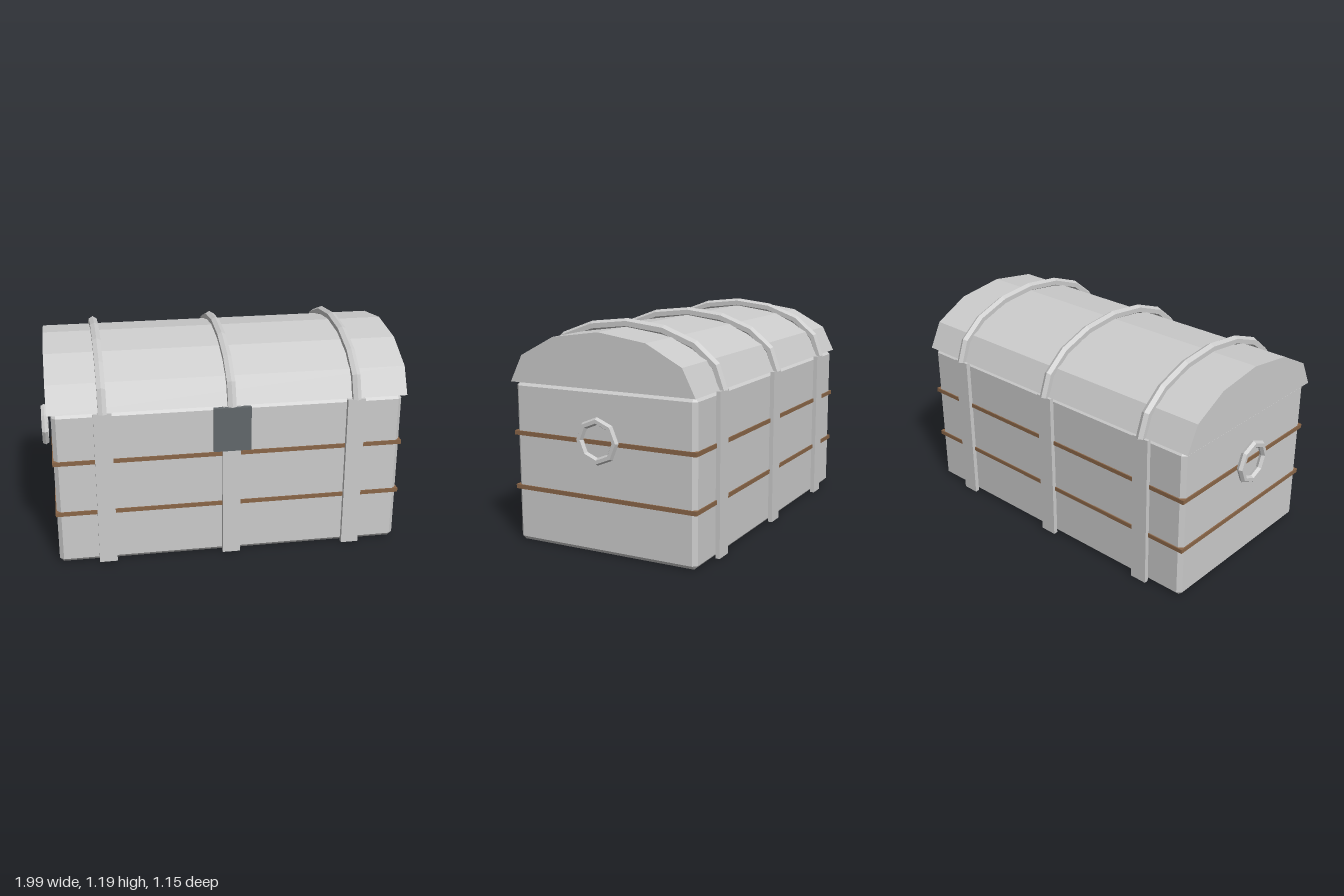
import * as THREE from 'three';
import { ConvexGeometry } from 'three/addons/geometries/ConvexGeometry.js';

const material = (color) => new THREE.MeshStandardMaterial({ color, flatShading: true, side: THREE.DoubleSide });

// Elliptical arc in the yz plane, sampled at equal angles
class ArcCurve extends THREE.Curve {
  constructor(rz, ry, sweep) {
    super();
    Object.assign(this, { rz, ry, sweep });
  }
  getPoint(t, target = new THREE.Vector3()) {
    const a = t * this.sweep;
    return target.set(0, this.ry * Math.sin(a), this.rz * Math.cos(a));
  }
  getPointAt(t, target) { return this.getPoint(t, target); }
  getTangentAt(t, target = new THREE.Vector3()) {
    const a = t * this.sweep;
    return target.set(0, this.ry * Math.cos(a), -this.rz * Math.sin(a)).normalize();
  }
}

// Box with every edge cut at 45 degrees
function chamferedBox(w, h, d, c) {
  const points = [];
  for (const x of [-1, 1]) for (const y of [-1, 1]) for (const z of [-1, 1]) {
    for (let inset = 0; inset < 3; inset++) {
      const cut = [c, c, c];
      cut[inset] = 0;
      points.push(new THREE.Vector3(x * (w / 2 - cut[0]), y * (h / 2 - cut[1]), z * (d / 2 - cut[2])));
    }
  }
  return new ConvexGeometry(points);
}

export function createModel() {
  const chest = new THREE.Group();
  chest.name = 'chest';
  const grey = material(0xcccccc);
  const wood = material(0x8a6648);
  const darkMetal = material(0x62686b);

  function add(name, geometry, mat, x = 0, y = 0, z = 0) {
    const mesh = new THREE.Mesh(geometry, mat);
    mesh.name = name;
    mesh.position.set(x, y, z);
    chest.add(mesh);
    return mesh;
  }

  const rimY = 0.86;

  // Body
  add('body', chamferedBox(1.876, rimY, 1.06, 0.022), grey, 0, rimY / 2, 0);

  // Domed lid: flattened half cylinder of six facets
  const profile = new THREE.Shape();
  for (let i = 0; i <= 6; i++) {
    const a = (i / 6) * Math.PI;
    const px = 0.538 * Math.cos(a), py = 0.285 * Math.sin(a);
    if (i === 0) profile.moveTo(px, py);
    else profile.lineTo(px, py);
  }
  const lidGeometry = new THREE.ExtrudeGeometry(profile, { depth: 1.92, bevelEnabled: false });
  lidGeometry.translate(0, 0, -0.96).rotateY(Math.PI / 2);
  add('lid', lidGeometry, grey, 0, rimY, 0);

  // Wooden bands around the body
  for (const y of [0.295, 0.587]) {
    add('woodenBand', new THREE.BoxGeometry(1.89, 0.023, 1.073), wood, 0, y, 0);
  }

  // Straps: upright plates front and back, joined by a hoop over the lid
  for (const x of [-0.676, 0, 0.676]) {
    for (const side of [-1, 1]) {
      add(side > 0 ? 'frontStrap' : 'backStrap',
        new THREE.BoxGeometry(0.096, rimY, 0.024), grey, x, rimY / 2, side * 0.542);
    }
    add('lidHoop', new THREE.TubeGeometry(new ArcCurve(0.546, 0.302, Math.PI), 8, 0.026, 6), grey, x, rimY, 0);
  }

  // Latch plate
  add('latch', new THREE.BoxGeometry(0.2, 0.243, 0.025), darkMetal, 0, 0.738, 0.561);

  // Ring handles
  for (const side of [-1, 1]) {
    add(side > 0 ? 'leftHandle' : 'rightHandle',
      new THREE.TubeGeometry(new ArcCurve(0.104, 0.104, Math.PI * 2), 8, 0.02, 6, true),
      grey, side * 0.98, 0.603, 0);
  }

  return chest;
}
